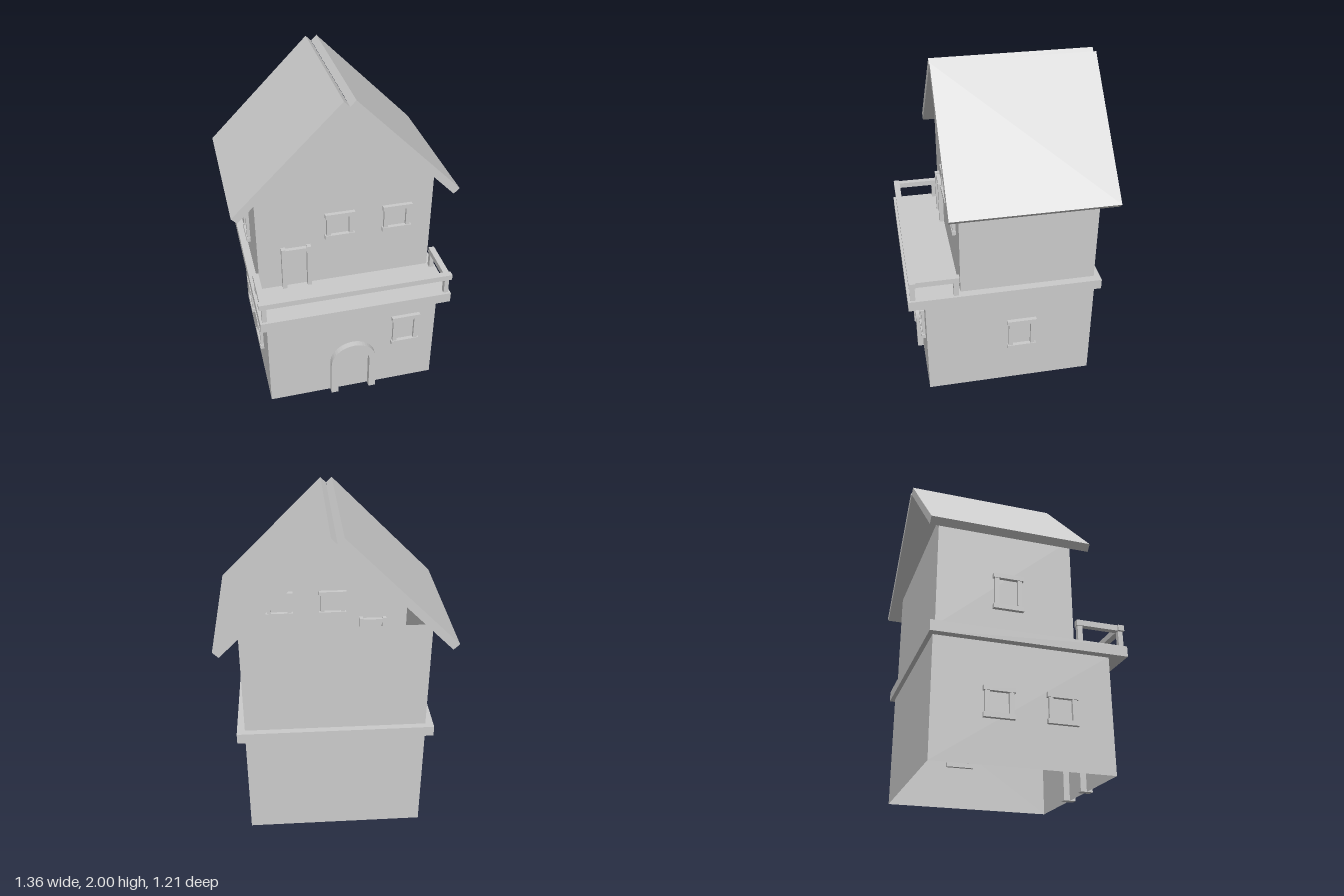
import * as THREE from 'three';

const material = new THREE.MeshStandardMaterial({ color: 0xcccccc, side: THREE.DoubleSide, flatShading: true });

function addMesh(parent, name, geometry) {
  const mesh = new THREE.Mesh(geometry, material);
  mesh.name = name;
  parent.add(mesh);
  return mesh;
}

// Box given by its lower and upper bounds
function addBox(parent, name, [x0, x1], [y0, y1], [z0, z1]) {
  const mesh = addMesh(parent, name, new THREE.BoxGeometry(x1 - x0, y1 - y0, z1 - z0));
  mesh.position.set((x0 + x1) / 2, (y0 + y1) / 2, (z0 + z1) / 2);
  return mesh;
}

function addGroup(parent, name, x, y, z, turn = 0) {
  const group = new THREE.Group();
  group.name = name;
  group.position.set(x, y, z);
  group.rotation.y = turn;
  parent.add(group);
  return group;
}

// Thin four-sided wall ring, open at top and bottom
function addWalls(parent, name, width, y0, y1, z0, z1) {
  const ring = new THREE.CylinderGeometry(Math.SQRT1_2, Math.SQRT1_2, y1 - y0, 4, 1, true);
  ring.rotateY(Math.PI / 4).scale(width, 1, z1 - z0);
  const geometry = ring.toNonIndexed();
  geometry.computeVertexNormals();
  addMesh(parent, name, geometry).position.set(0, (y0 + y1) / 2, (z0 + z1) / 2);
}

// Window frame straddling the wall: two posts between two wider bars
function addWindow(parent, name, x, y, z, height, turn = 0) {
  const frame = addGroup(parent, name, x, y, z, turn);
  const h = height / 2;
  for (const s of [-1, 1]) {
    const post = addBox(frame, 'windowPost', [-0.013, 0.013], [-h + 0.02, h - 0.02], [-0.019, 0.019]);
    post.position.x = s * 0.069;
    const bar = addBox(frame, 'windowBar', [-0.091, 0.091], [-0.014, 0.014], [-0.024, 0.024]);
    bar.position.y = s * (h - 0.014);
  }
}

// Arched door surround
function addArch(parent, z) {
  const outer = 0.148, inner = 0.103, spring = 0.245;
  const shape = new THREE.Shape();
  shape.moveTo(-outer, 0);
  shape.lineTo(-outer, spring);
  shape.absarc(0, spring, outer, Math.PI, 0, true);
  shape.lineTo(outer, 0);
  shape.lineTo(inner, 0);
  shape.lineTo(inner, spring);
  shape.absarc(0, spring, inner, 0, Math.PI, false);
  shape.lineTo(-inner, 0);
  shape.closePath();
  const geometry = new THREE.ExtrudeGeometry(shape, { depth: 0.076, bevelEnabled: false, curveSegments: 12 });
  addMesh(parent, 'archedDoorFrame', geometry).position.z = z - 0.038;
}

export function createModel() {
  const house = new THREE.Group();
  house.name = 'house';

  const side = 0.54, lowerFront = 0.505, upperFront = 0.29;

  // Storeys and the floor slab that carries the balcony
  addWalls(house, 'lowerWalls', 2 * side, 0, 0.7, -0.54, lowerFront);
  addBox(house, 'balconySlab', [-0.587, 0.587], [0.695, 0.76], [-0.567, 0.605]);
  addWalls(house, 'upperWalls', 2 * side, 0.75, 1.444, -0.53, upperFront);

  // Front gable; the rear one is open
  const gable = new THREE.Shape([
    new THREE.Vector2(-side, 1.444),
    new THREE.Vector2(side, 1.444),
    new THREE.Vector2(0, 1.965),
  ]);
  addMesh(house, 'frontGable', new THREE.ShapeGeometry(gable)).position.z = upperFront;

  // Two roof slabs at 45 degrees, meeting along their lower edges
  for (const s of [-1, 1]) {
    const roof = addMesh(house, s > 0 ? 'leftRoof' : 'rightRoof', new THREE.BoxGeometry(0.912, 0.048, 0.965));
    roof.position.set(s * 0.34, 1.66, -0.1225);
    roof.rotation.z = -s * Math.PI / 4;
  }

  // Doors
  addArch(house, lowerFront);
  const door = addGroup(house, 'balconyDoorFrame', -0.308, 0.75, upperFront);
  for (const s of [-1, 1]) {
    const post = addBox(door, 'doorPost', [-0.013, 0.013], [0, 0.302], [-0.03, 0.03]);
    post.position.x = s * 0.078;
  }
  addBox(door, 'doorLintel', [-0.07, 0.07], [0.266, 0.292], [-0.025, 0.025]);

  // Windows
  addWindow(house, 'lowerFrontWindow', 0.341, 0.44, lowerFront, 0.224);
  addWindow(house, 'upperFrontWindow', -0.037, 1.167, upperFront, 0.178);
  addWindow(house, 'upperFrontWindow', 0.318, 1.167, upperFront, 0.178);
  addWindow(house, 'leftWindow', side, 0.377, -0.087, 0.224, Math.PI / 2);
  addWindow(house, 'lowerRightWindow', -side, 0.342, -0.165, 0.178, Math.PI / 2);
  addWindow(house, 'lowerRightWindow', -side, 0.342, 0.2, 0.178, Math.PI / 2);
  addWindow(house, 'upperRightWindow', -side, 1.013, -0.11, 0.224, Math.PI / 2);

  // Balcony railing
  const railing = addGroup(house, 'railing', 0, 0, 0);
  addBox(railing, 'frontRail', [-0.589, 0.589], [0.858, 0.893], [0.556, 0.594]);
  for (const s of [-1, 1]) {
    addBox(railing, 'sideRail', [-0.018, 0.018], [0.858, 0.893], [0.298, 0.56]).position.x = s * 0.561;
    for (const z of [0.318, 0.575]) {
      const post = addBox(railing, 'railPost', [-0.014, 0.014], [0.755, 0.862], [-0.015, 0.015]);
      post.position.x = s * 0.559;
      post.position.z = z;
    }
  }

  return house;
}
